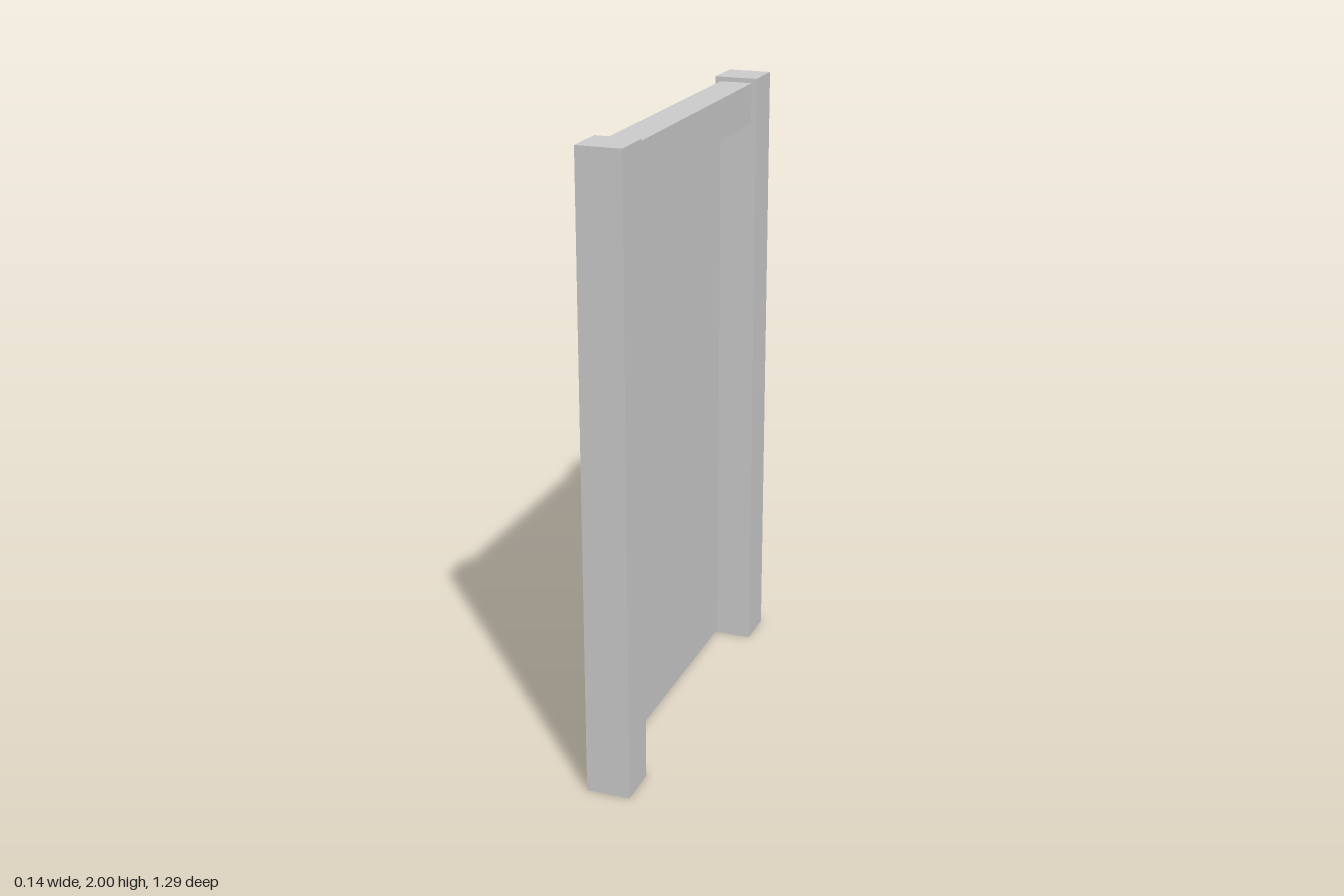
import * as THREE from 'three';

const material = new THREE.MeshStandardMaterial({ color: 0xcccccc, side: THREE.DoubleSide });

// Box given by its minimum and maximum corners
function block(name, min, max) {
  const size = max.map((v, i) => v - min[i]);
  const mesh = new THREE.Mesh(new THREE.BoxGeometry(...size), material);
  mesh.position.set(...max.map((v, i) => (v + min[i]) / 2));
  mesh.name = name;
  return mesh;
}

// Square hollow post, open at the foot
function post(name, z) {
  const mesh = block(name, [-0.07, 0, z - 0.07], [0.07, 2, z + 0.07]);
  const index = Array.from(mesh.geometry.index.array);
  index.splice(18, 6); // drop the bottom face
  mesh.geometry.setIndex(index);
  mesh.geometry.clearGroups();
  return mesh;
}

export function createModel() {
  const group = new THREE.Group();
  group.name = 'doorway';

  // Side posts
  group.add(post('frontPost', 0.574), post('backPost', -0.574));

  // Beam across the top, slightly narrower than the posts
  group.add(block('lintel', [-0.053, 1.857, -0.504], [0.053, 1.985, 0.504]));

  // Thin door leaf, flush with one side and hung against the back post
  group.add(block('doorPanel', [-0.055, 0.01, -0.504], [-0.051, 1.837, 0.494]));

  return group;
}
